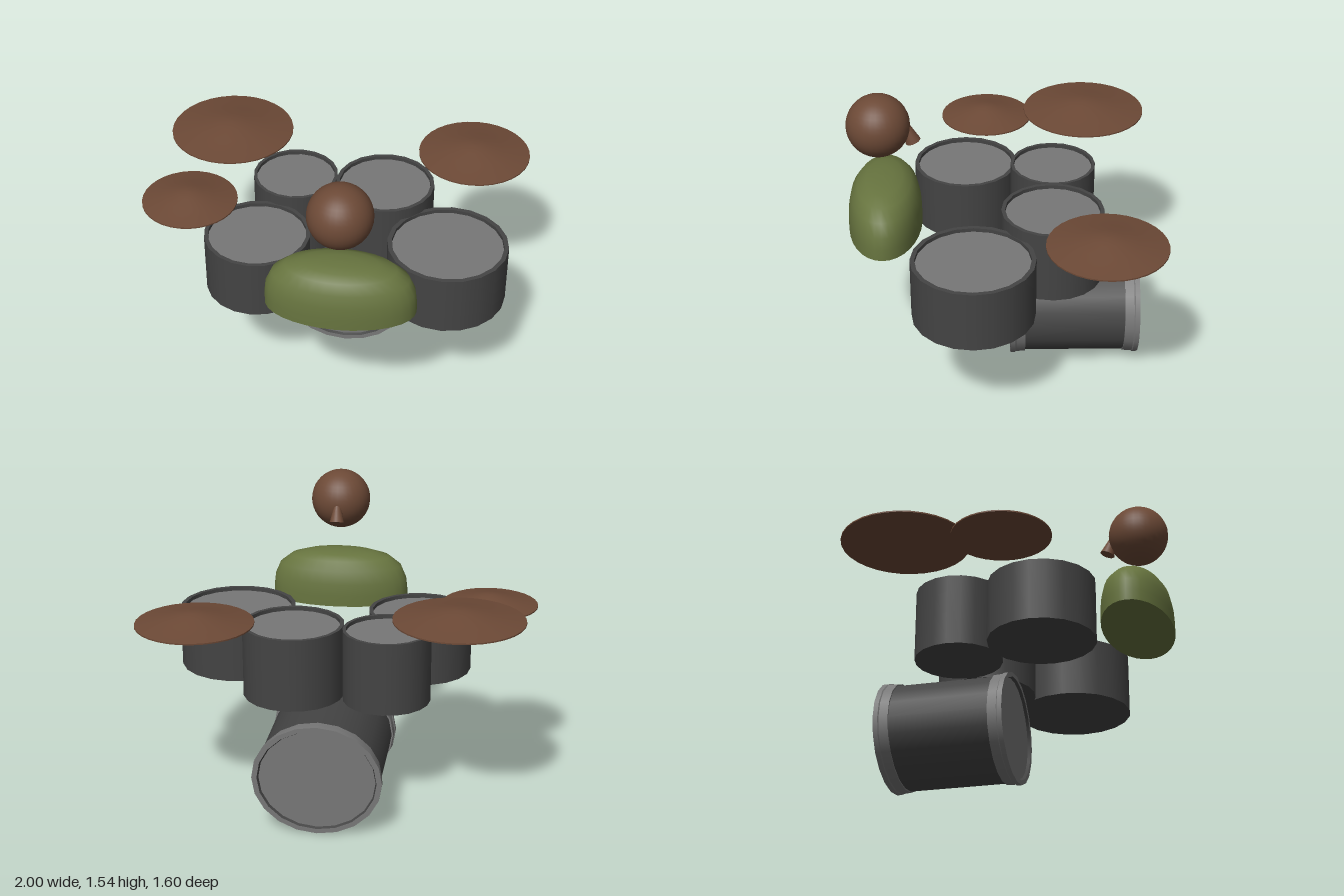
import * as THREE from 'three';
import { mergeGeometries } from 'three/addons/utils/BufferGeometryUtils.js';

const paint = (name, color) => {
  const m = new THREE.MeshStandardMaterial({ color });
  m.name = name;
  return m;
};

// Lathe whose profile keeps a hard edge at every point
function hardLathe(points, sides) {
  const parts = [];
  for (let i = 0; i + 1 < points.length; i++) {
    const pair = [points[i], points[i + 1]].map(p => new THREE.Vector2(...p));
    parts.push(new THREE.LatheGeometry(pair, sides));
  }
  return mergeGeometries(parts);
}

const softLathe = (points, sides) =>
  new THREE.LatheGeometry(points.map(p => new THREE.Vector2(...p)), sides);

export function createModel() {
  const model = new THREE.Group();
  model.name = 'drummerAndKit';
  const shellDark = paint('shellDark', 0x444444);
  const skinGrey = paint('drumheadGrey', 0x777777);
  const brown = paint('brown', 0x6c4936);
  const green = paint('green', 0x67743f);

  const add = (parent, name, geometry, material, x = 0, y = 0, z = 0) => {
    const mesh = new THREE.Mesh(geometry, material);
    mesh.name = name;
    mesh.position.set(x, y, z);
    parent.add(mesh);
    return mesh;
  };

  // Upright drums: shell with a raised rim around a recessed head
  const base = 0.572;
  const drums = [
    ['smallTom', -0.245, -0.275, 0.228, 0.952],
    ['largeTom', 0.242, -0.255, 0.264, 0.955],
    ['snareDrum', -0.375, 0.195, 0.277, 0.895],
    ['floorTom', 0.612, 0.152, 0.313, 0.895],
  ];
  for (const [name, x, z, r, top] of drums) {
    const drum = new THREE.Group();
    drum.name = name;
    drum.position.set(x, base, z);
    const h = top - base, inner = r * 0.925;
    add(drum, 'shell', hardLathe([[0, 0], [r, 0], [r, h], [inner, h], [inner, h - 0.025]], 20), shellDark);
    add(drum, 'drumhead', hardLathe([[inner, h - 0.02], [0, h - 0.02]], 20), skinGrey);
    model.add(drum);
  }

  // Bass drum lying along z, slightly wider than tall
  const bass = new THREE.Group();
  bass.name = 'bassDrum';
  bass.position.set(0.055, 0.293, -0.38);
  bass.scale.x = 1.13;
  add(bass, 'shell', hardLathe([[0.278, -0.3], [0.278, 0.3]], 20), shellDark).rotation.x = Math.PI / 2;
  for (const side of [1, -1]) {
    const end = new THREE.Group();
    end.name = side > 0 ? 'frontEnd' : 'backEnd';
    end.rotation.x = side * Math.PI / 2;
    add(end, 'hoop', hardLathe([[0.276, 0.262], [0.285, 0.262], [0.287, 0.31], [0.292, 0.315], [0.292, 0.34], [0.268, 0.34]], 20), skinGrey);
    add(end, 'innerRim', hardLathe([[0.268, 0.34], [0.262, 0.325]], 20), shellDark);
    add(end, 'drumhead', hardLathe([[0.262, 0.325], [0, 0.325]], 20), skinGrey);
    bass.add(end);
  }
  model.add(bass);

  // Cymbals with a shallow dome and flat underside
  const cymbals = [
    ['crashCymbal', -0.62, 1.082, -0.458, 0.33],
    ['rideCymbal', 0.7, 1.017, -0.5, 0.3],
    ['hiHat', -0.75, 0.984, 0.08, 0.25],
  ];
  for (const [name, x, y, z, r] of cymbals) {
    const cymbal = new THREE.Group();
    cymbal.name = name;
    cymbal.position.set(x, y, z);
    const dome = [[1, 0.007], [0.75, 0.019], [0.5, 0.034], [0.25, 0.051], [0.1, 0.057], [0, 0.058]];
    add(cymbal, 'dome', softLathe(dome.map(([f, h]) => [f * r, h]), 32), brown);
    add(cymbal, 'underside', hardLathe([[0, 0], [r, 0], [r, 0.007]], 32), brown);
    model.add(cymbal);
  }

  // Torso: flat-bottomed rounded block with an oval plan
  const torso = softLathe([[1, 0], [1, 0.06], [0.98, 0.125], [0.9, 0.195], [0.73, 0.245],
    [0.5, 0.269], [0.25, 0.279], [0, 0.28]], 32).scale(0.38, 1, 0.19);
  add(model, 'torso', torso, green, 0.115, 0.812, 0.608);
  const underside = hardLathe([[0, 0], [1, 0]], 32).scale(0.38, 1, 0.19);
  add(model, 'torsoUnderside', underside, green, 0.115, 0.812, 0.608);

  // Head with a cone nose facing the drums
  add(model, 'head', new THREE.SphereGeometry(0.162, 32, 20), brown, 0.115, 1.38, 0.627);
  const nose = add(model, 'nose', new THREE.ConeGeometry(0.04, 0.17, 16), brown, 0.115, 1.368, 0.482);
  nose.rotation.x = 0.35;

  return model;
}
